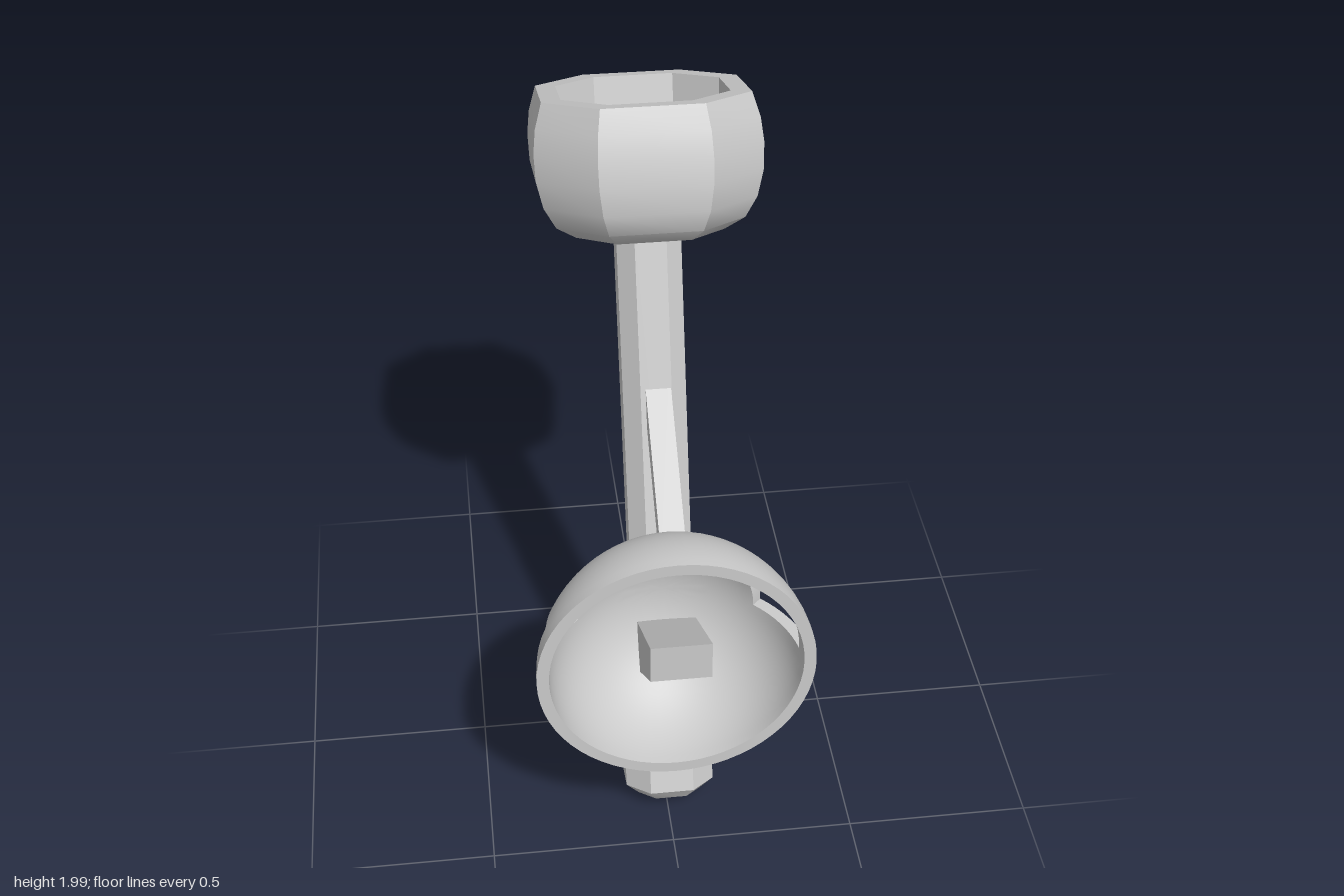
import * as THREE from 'three';
import { mergeGeometries, toCreasedNormals } from 'three/addons/utils/BufferGeometryUtils.js';

const grey = new THREE.MeshStandardMaterial({ color: 0xcccccc });
const greyDouble = new THREE.MeshStandardMaterial({ color: 0xcccccc, side: THREE.DoubleSide });

function part(name, geometry, material = grey) {
  const mesh = new THREE.Mesh(geometry, material);
  mesh.name = name;
  return mesh;
}

// Eight-sided solid from a profile of [half width, height]; flats face x and z
function octagonSolid(profile) {
  const points = profile.map(([r, y]) => new THREE.Vector2(r, y));
  const geo = new THREE.LatheGeometry(points, 8, Math.PI / 8);
  const pos = geo.attributes.position;
  for (let i = 0; i < pos.count; i++) {
    const x = pos.getX(i), z = pos.getZ(i), a = Math.hypot(x, z);
    const wideX = Math.abs(x) > Math.abs(z);
    pos.setX(i, Math.sign(x) * a * (wideX ? 1 : 0.49));
    pos.setZ(i, Math.sign(z) * a * (wideX ? 0.49 : 1));
  }
  return toCreasedNormals(geo, 0.6);
}

// Side outline in [z, y], given thickness along x
function sideExtrude(outline, width, centreX) {
  const shape = new THREE.Shape(outline.map(([z, y]) => new THREE.Vector2(z, y)));
  const geo = new THREE.ExtrudeGeometry(shape, { depth: width, bevelEnabled: false });
  geo.translate(0, 0, -width / 2).rotateY(-Math.PI / 2).translate(centreX, 0, 0);
  return geo;
}

// Hollow half sphere, pole along -z, with a window cut through each side
function dishGeometry(outer, inner) {
  const deg = Math.PI / 180;
  const winStart = 9.5 * deg, winEnd = 45 * deg;

  // Closed wall section between two elevations, swept through an arc
  const wall = (from, to, phiStart, phiLength, segments) => {
    const steps = Math.max(2, Math.round((to - from) / (4.5 * deg)));
    const points = [];
    const arc = (r, a, b) => {
      for (let i = 0; i <= steps; i++) {
        const t = a + (b - a) * i / steps;
        points.push(new THREE.Vector2(Math.max(0, r * Math.cos(t)), r * Math.sin(t)));
      }
    };
    arc(outer, from, to);
    arc(inner, to, from);
    points.push(points[0].clone());
    return new THREE.LatheGeometry(points, segments, phiStart * deg, phiLength * deg);
  };

  const pieces = [
    wall(0, Math.PI / 2, 90, 180, 32),
    wall(0, Math.PI / 2, 292.5, 135, 24),
  ];
  for (const phi of [67.5, 270]) {
    pieces.push(wall(0, winStart, phi, 22.5, 4));
    pieces.push(wall(winEnd, Math.PI / 2, phi, 22.5, 4));
    // Radial sides of the window opening
    for (const edge of [phi, phi + 22.5]) {
      const side = new THREE.RingGeometry(inner, outer, 8, 1, winStart, winEnd - winStart);
      pieces.push(side.rotateY((edge - 90) * deg));
    }
  }
  return toCreasedNormals(mergeGeometries(pieces), 0.6).rotateX(-Math.PI / 2);
}

export function createModel() {
  const model = new THREE.Group();
  model.name = 'model';

  // Leaning pole with foot and cup, built upright along its own axis
  const pole = new THREE.Group();
  pole.name = 'leaningPole';
  pole.position.set(0.007, 0.145, 0.272);
  pole.rotation.x = -0.31;
  pole.add(part('rod', octagonSolid([[0, -0.03], [0.084, -0.03], [0.084, 1.53], [0, 1.53]])));
  pole.add(part('foot', octagonSolid([
    [0, -0.116], [0.088, -0.116], [0.122, -0.08], [0.122, -0.01], [0, -0.01],
  ])));
  pole.add(part('cup', octagonSolid([
    [0, 1.5], [0.12, 1.5], [0.19, 1.512], [0.24, 1.545], [0.27, 1.6], [0.286, 1.67],
    [0.288, 1.74], [0.281, 1.8], [0.262, 1.864], [0.212, 1.864], [0.212, 1.66], [0, 1.66],
  ])));
  model.add(pole);

  // Dish with side windows
  const dish = part('dish', dishGeometry(0.362, 0.33), greyDouble);
  dish.position.set(0, 0.693, 0.545);
  model.add(dish);

  // Sloping block through the dish wall
  model.add(part('dishBlock', sideExtrude([
    [0.547, 0.785], [0.193, 0.57], [0.236, 0.43], [0.28, 0.455], [0.547, 0.67],
  ], 0.16, 0.01)));

  // Slim brace from the rod down to the top of the dish
  model.add(part('brace', sideExtrude([
    [-0.02, 1.243], [-0.02, 1.168], [0.325, 0.88], [0.365, 0.928],
  ], 0.067, 0.013)));

  return model;
}
